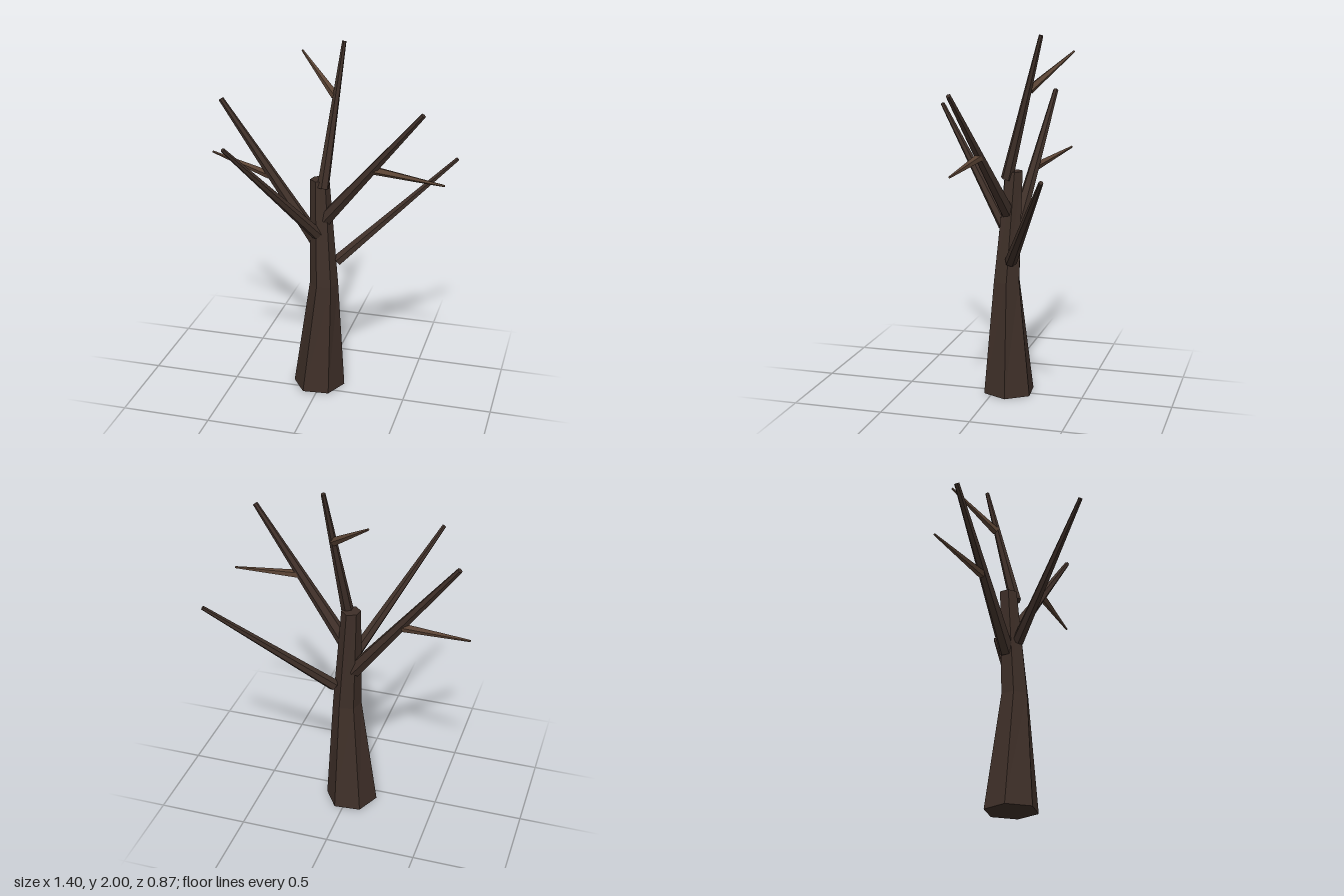
import * as THREE from 'three';

const bark = new THREE.MeshStandardMaterial({ color: 0x3e2f28, flatShading: true });
const twigBark = new THREE.MeshStandardMaterial({ color: 0x5a4334, flatShading: true });
const UP = new THREE.Vector3(0, 1, 0);

// Tapered limb from one point to another
function limb(name, from, to, r0, r1, sides, material) {
  const a = new THREE.Vector3(...from);
  const dir = new THREE.Vector3(...to).sub(a);
  const length = dir.length();
  const geometry = new THREE.CylinderGeometry(r1, r0, length, sides);
  geometry.translate(0, length / 2, 0);
  const mesh = new THREE.Mesh(geometry, material);
  mesh.name = name;
  mesh.position.copy(a);
  mesh.quaternion.setFromUnitVectors(UP, dir.normalize());
  return mesh;
}

// Six-sided trunk: each ring has its own centre, radius and twist
function trunk() {
  const rings = [
    { x: -0.015, y: 0, z: -0.077, r: 0.148, twist: 35 },
    { x: 0.013, y: 0.65, z: -0.07, r: 0.08, twist: 43 },
    { x: -0.02, y: 1.26, z: -0.1, r: 0.053, twist: 48 },
  ];
  const geometry = new THREE.CylinderGeometry(1, 1, 2, 6, 2);
  const p = geometry.attributes.position;
  const v = new THREE.Vector3();
  for (let i = 0; i < p.count; i++) {
    v.fromBufferAttribute(p, i);
    const ring = rings[Math.round(v.y) + 1];
    v.setY(0).applyAxisAngle(UP, THREE.MathUtils.degToRad(ring.twist)).multiplyScalar(ring.r);
    p.setXYZ(i, v.x + ring.x, ring.y, v.z + ring.z);
  }
  geometry.computeVertexNormals();
  const mesh = new THREE.Mesh(geometry, bark);
  mesh.name = 'trunk';
  return mesh;
}

export function createModel() {
  const tree = new THREE.Group();
  tree.name = 'bareTree';
  tree.add(trunk());

  // Main branches: name, base, tip, base radius, tip radius
  const branches = [
    ['topBranch', [0.006, 1.22, -0.068], [0.07, 1.998, -0.268], 0.034, 0.012],
    ['leftBranch', [0.02, 1.04, -0.075], [0.575, 1.725, 0.077], 0.04, 0.014],
    ['lowLeftBranch', [0.075, 0.775, -0.11], [0.69, 1.335, -0.424], 0.034, 0.012],
    ['rightBranch', [-0.035, 0.89, -0.1], [-0.615, 1.645, -0.193], 0.042, 0.015],
    ['frontBranch', [-0.02, 0.955, -0.045], [-0.388, 1.57, 0.427], 0.034, 0.012],
  ];
  for (const [name, from, to, r0, r1] of branches) tree.add(limb(name, from, to, r0, r1, 6, bark));

  // Thin side twigs
  const twigs = [
    ['topTwig', [0.04, 1.71, -0.2], [-0.198, 1.9, -0.388]],
    ['leftTwig', [0.3, 1.378, 0], [0.693, 1.34, 0.036]],
    ['rightTwig', [-0.32, 1.238, -0.148], [-0.703, 1.3, -0.274]],
  ];
  for (const [name, from, to] of twigs) tree.add(limb(name, from, to, 0.024, 0.006, 5, twigBark));

  return tree;
}
